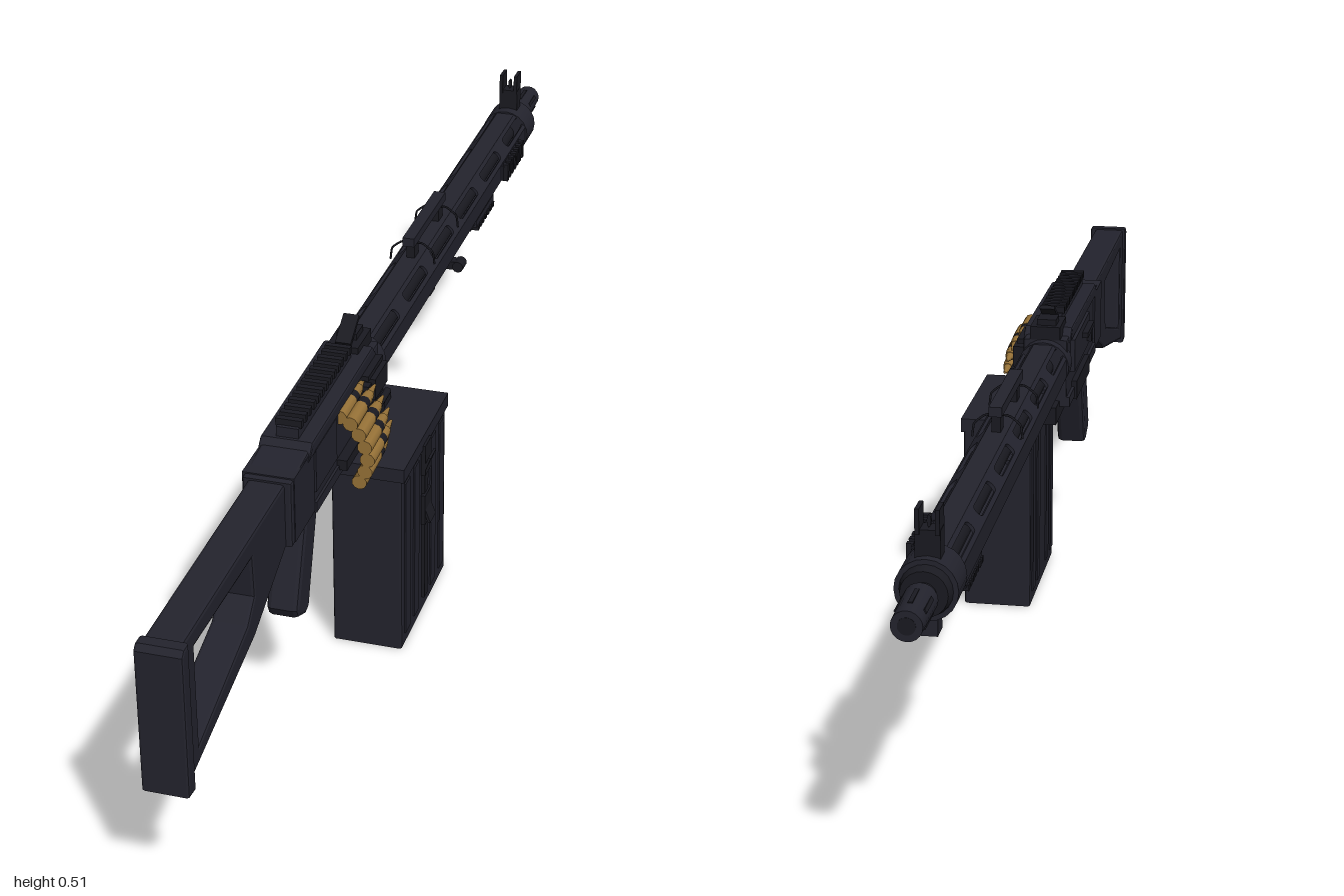
import * as THREE from 'three';

const mat = (name, color) => Object.assign(new THREE.MeshStandardMaterial({ color }), { name });
const steel = mat('dark steel', 0x23232d);
const black = mat('black steel', 0x1a1a21);
const brass = mat('brass', 0x987338);
const CX = -0.045; // bore axis
const CY = 0.408;

export function createModel() {
  const root = new THREE.Group();

  const add = (name, geo, m = steel, x = 0, y = 0, z = 0, parent = root) => {
    const mesh = new THREE.Mesh(geo, m);
    mesh.name = name;
    mesh.position.set(x, y, z);
    parent.add(mesh);
    return mesh;
  };
  // box given by its extents
  const box = (name, x0, x1, y0, y1, z0, z1, m = steel) =>
    add(name, new THREE.BoxGeometry(x1 - x0, y1 - y0, z1 - z0), m, (x0 + x1) / 2, (y0 + y1) / 2, (z0 + z1) / 2);
  // cylinder along z
  const rod = (name, r0, r1, z0, z1, x, y, m = steel, sides = 20) =>
    add(name, new THREE.CylinderGeometry(r1, r0, z1 - z0, sides).rotateX(Math.PI / 2), m, x, y, (z0 + z1) / 2);
  const poly = (pts, C = THREE.Shape) => new C(pts.map(p => new THREE.Vector2(...p)));
  // plate drawn in (z, y) and given a width in x
  const plate = (shape, width, bevel = 0) => {
    const g = new THREE.ExtrudeGeometry(shape, {
      depth: width - 2 * bevel, bevelEnabled: bevel > 0, bevelSize: bevel, bevelOffset: -bevel,
      bevelThickness: bevel, bevelSegments: 2, curveSegments: 5,
    });
    return g.translate(0, 0, bevel - width / 2).rotateY(-Math.PI / 2);
  };
  const tube = (name, pts, r, m = black) => add(name, new THREE.TubeGeometry(
    new THREE.CatmullRomCurve3(pts.map(p => new THREE.Vector3(...p)), false, 'catmullrom', 0.2), 24, r, 6), m);

  // Skeleton stock and butt plate
  const stock = poly([[0.985, 0.21], [0.985, 0.435], [0.56, 0.437], [0.56, 0.335], [0.71, 0.27]]);
  stock.holes.push(poly([[0.935, 0.247], [0.735, 0.305], [0.705, 0.335], [0.71, 0.4], [0.935, 0.405]], THREE.Path));
  add('stock', plate(stock, 0.055, 0.005), steel, -0.046);
  add('buttPlate', plate(poly([[0.975, 0.205], [1.0, 0.208], [1.0, 0.43], [0.992, 0.438], [0.975, 0.438]]), 0.068, 0.004), steel, -0.044);
  tube('slingLoop', [[CX, 0.245, 0.88], [CX, 0.23, 0.87], [CX, 0.235, 0.85], [CX, 0.25, 0.85]], 0.003);

  // Receiver
  add('receiver', plate(poly([[0.57, 0.335], [0.57, 0.44], [0.47, 0.45], [0.14, 0.45], [0.14, 0.335]]), 0.074, 0.004), steel, CX);
  box('stockCollar', -0.085, -0.007, 0.338, 0.443, 0.47, 0.56);
  box('receiverRail', -0.087, -0.004, 0.335, 0.352, 0.14, 0.47);
  box('leftPanel', -0.01, -0.004, 0.37, 0.44, 0.37, 0.47);
  box('rightGuard', -0.091, -0.08, 0.33, 0.362, 0.2, 0.36, black);
  box('rightGuide', -0.09, -0.08, 0.385, 0.44, 0.18, 0.36);
  box('chargingHandle', -0.1, -0.085, 0.418, 0.427, 0.27, 0.35, black);
  box('chargingKnob', -0.098, -0.088, 0.395, 0.42, 0.33, 0.35, black);

  // Top cover with ridged rail
  add('topCover', plate(poly([[0.5, 0.435], [0.48, 0.458], [0.18, 0.462], [0.16, 0.44]]), 0.08, 0.004), steel, CX);
  box('coverRail', -0.062, -0.028, 0.455, 0.474, 0.22, 0.475);
  for (let i = 0; i < 13; i++) box('coverRidge', -0.065, -0.025, 0.472, 0.484, 0.225 + i * 0.0195, 0.235 + i * 0.0195, black);

  // Rear sight
  box('rearSightBase', -0.07, -0.02, 0.45, 0.472, 0.14, 0.21, black);
  box('rearSightBlock', -0.062, -0.03, 0.47, 0.482, 0.15, 0.185, black);
  const leaf = box('rearSightLeaf', -0.058, -0.033, 0.484, 0.49, 0.155, 0.208, black);
  leaf.rotation.x = 0.55;

  // Grip, trigger and guard
  add('grip', plate(poly([[0.465, 0.345], [0.405, 0.345], [0.42, 0.3], [0.465, 0.165], [0.48, 0.16], [0.515, 0.175], [0.522, 0.19]]), 0.05, 0.008), steel, -0.045);
  tube('triggerGuard', [[CX, 0.338, 0.3], [CX, 0.312, 0.31], [CX, 0.304, 0.34], [CX, 0.304, 0.39], [CX, 0.318, 0.425]], 0.005);
  tube('trigger', [[CX, 0.34, 0.365], [CX, 0.325, 0.368], [CX, 0.312, 0.36]], 0.004);

  // Octagonal barrel shroud, slots along the diagonal panels
  const shroud = new THREE.Group();
  shroud.name = 'barrelShroud';
  shroud.position.set(CX, CY, 0);
  root.add(shroud);
  for (let i = 0; i < 8; i++) {
    const h = 0.0162;
    const panel = poly([[-0.86, -h], [0.15, -h], [0.15, h], [-0.86, h]]);
    if (i % 2) for (let k = 0; k < 6; k++) {
      const z = 0.065 - k * 0.165, slot = new THREE.Path();
      slot.absarc(z + 0.05, 0, 0.009, -Math.PI / 2, Math.PI / 2);
      slot.absarc(z - 0.05, 0, 0.009, Math.PI / 2, Math.PI * 1.5);
      panel.holes.push(slot);
    }
    const g = plate(panel, 0.005).translate(0.0365, 0, 0).rotateZ(i * Math.PI / 4);
    add('shroudPanel', g, steel, 0, 0, 0, shroud);
  }
  rod('barrel', 0.017, 0.017, -0.92, 0.15, CX, CY, black);
  rod('shroudRearCollar', 0.043, 0.043, 0.12, 0.16, CX, CY);
  rod('shroudFrontCollar', 0.043, 0.043, -0.875, -0.815, CX, CY);
  rod('frontNut', 0.032, 0.036, -0.89, -0.875, CX, CY, black);

  // Muzzle device
  rod('muzzle', 0.021, 0.023, -1.0, -0.91, CX, CY + 0.002, steel);
  rod('muzzleBore', 0.012, 0.012, -1.0005, -0.99, CX, CY + 0.002, black);
  for (let i = 0; i < 6; i++) {
    const a = i * Math.PI / 3;
    const s = box('muzzleSlot', -0.003, 0.003, -0.002, 0.002, -0.975, -0.93, black);
    s.position.set(CX + Math.sin(a) * 0.021, CY + 0.002 + Math.cos(a) * 0.021, -0.953);
    s.rotation.z = -a;
  }

  // Lower rod and brackets
  rod('lowerRod', 0.009, 0.009, -0.86, 0.15, CX, 0.349, steel, 10);
  for (const z of [0.1, -0.26, -0.53, -0.85]) box('rodBracket', -0.058, -0.032, 0.34, 0.38, z - 0.015, z + 0.015);
  box('lowerCatch', -0.05, -0.018, 0.33, 0.345, -0.395, -0.375, black);
  rod('catchKnob', 0.01, 0.01, -0.398, -0.372, -0.018, 0.337, black, 10);

  // Ridged accessory rails below and on the left
  box('lowerRail', -0.06, -0.03, 0.332, 0.345, -0.675, -0.55);
  box('sideRail', -0.012, -0.002, 0.394, 0.422, -0.76, -0.63);
  for (let i = 0; i < 7; i++) {
    box('lowerRidge', -0.063, -0.027, 0.325, 0.334, -0.668 + i * 0.0175, -0.658 + i * 0.0175, black);
    box('sideRidge', -0.004, 0.006, 0.392, 0.424, -0.755 + i * 0.0185, -0.745 + i * 0.0185, black);
  }

  // Carry handle with wire clamps
  box('carryHandle', -0.055, -0.035, 0.473, 0.488, -0.35, -0.155);
  for (const z of [-0.33, -0.18]) {
    box('handlePost', -0.052, -0.038, 0.442, 0.475, z - 0.012, z + 0.012, black);
    tube('handleWire', [[-0.083, 0.435, z], [-0.08, 0.456, z], [-0.062, 0.47, z], [-0.028, 0.47, z], [-0.01, 0.456, z], [-0.007, 0.435, z]], 0.0018);
  }

  // Front sight
  box('frontSightBase', -0.062, -0.028, 0.445, 0.486, -0.862, -0.835, black);
  for (const s of [-1, 1]) box('frontSightEar', CX + s * 0.0135 - 0.003, CX + s * 0.0135 + 0.003, 0.48, 0.515, -0.865, -0.833, black);
  rod('frontSightPost', 0.003, 0.003, -0.852, -0.846, CX, 0.495, black, 8).scale.y = 3;

  // Ammunition box with lid, pressed ribs and buckles
  add('ammoBox', plate(poly([[0.31, 0.002], [0.31, 0.315], [0.062, 0.315], [0.062, 0.002]]), 0.113, 0.004), steel, 0.0225);
  box('ammoBoxLid', -0.036, 0.083, 0.308, 0.331, 0.06, 0.313);
  box('ammoBoxHanger', -0.07, 0, 0.315, 0.345, 0.1, 0.3, black);
  for (const z of [0.09, 0.14, 0.235, 0.285])
    for (const x of [-0.0345, 0.0795]) box('boxRib', x - 0.002, x + 0.002, 0.025, 0.298, z - 0.013, z + 0.013);
  box('boxStrap', 0.078, 0.084, 0.03, 0.31, 0.18, 0.2, black);
  for (const y of [0.28, 0.19]) {
    box('buckleBase', 0.08, 0.087, y - 0.018, y + 0.035, 0.172, 0.208, black);
    const clip = box('buckleClip', 0.086, 0.09, y - 0.015, y + 0.015, 0.174, 0.206, black);
    clip.rotation.z = y > 0.25 ? -0.35 : 0.35;
  }

  // Feed tray and ribs on the left side
  box('feedTray', -0.02, 0.008, 0.345, 0.362, 0.16, 0.36, black);
  box('feedLip', -0.01, 0.012, 0.395, 0.43, 0.16, 0.225, black);
  rod('feedPin', 0.006, 0.006, 0.17, 0.23, 0.015, 0.383, black, 8);
  for (let i = 0; i < 5; i++) box('feedRib', -0.01, 0.006, 0.362 + i * 0.018, 0.37 + i * 0.018, 0.165, 0.24, black);

  // Cartridge belt curving down into the box
  const belt = [[-0.006, 0.43], [0.011, 0.421], [0.024, 0.404], [0.033, 0.384], [0.037, 0.363], [0.033, 0.342], [0.024, 0.323]];
  for (const [x, y] of belt) {
    rod('cartridgeCase', 0.0112, 0.0118, 0.297, 0.352, x, y, brass, 10);
    rod('beltLink', 0.0105, 0.0105, 0.28, 0.297, x, y, black, 10);
    rod('cartridgeNeck', 0.008, 0.0105, 0.255, 0.28, x, y, brass, 10);
    rod('bulletTip', 0.002, 0.007, 0.225, 0.255, x, y, brass, 10);
  }
  return root;
}
